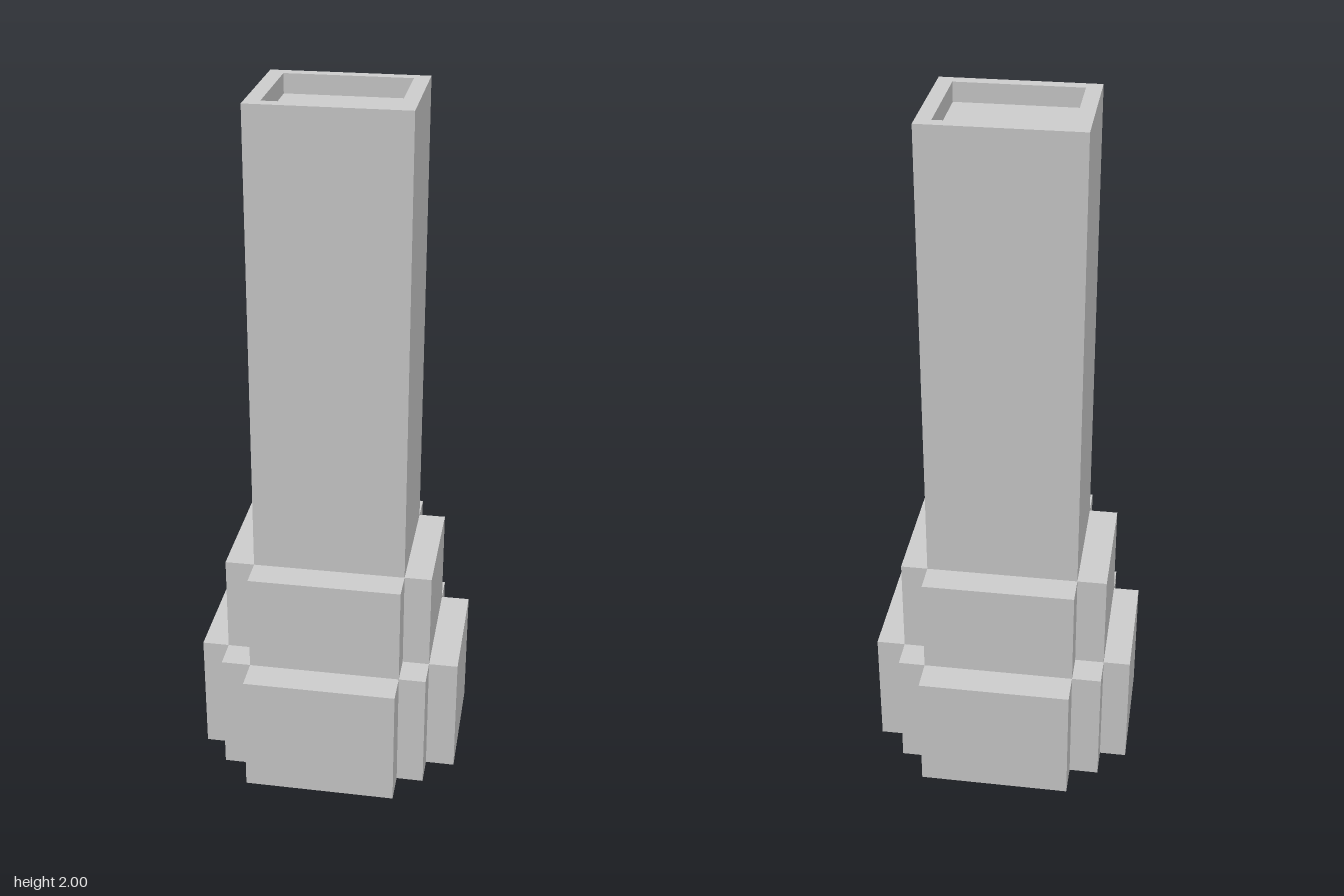
import * as THREE from 'three';

// Stepped plan: distances of the shaft, middle and base faces on each side
const RIGHT = [0.22, 0.298, 0.382], LEFT = [-0.22, -0.305, -0.383];
const FRONT = [0.182, 0.272, 0.366], BACK = [-0.187, -0.275, -0.368];
const MID_Y = 0.36, SHAFT_Y = 0.65, TOP_Y = 2, RECESS_Y = 1.945;

const material = new THREE.MeshStandardMaterial({ color: 0xcccccc, flatShading: true, side: THREE.DoubleSide });

// Builds one mesh from a list of four-cornered faces
function quadMesh(name, quads) {
  const positions = quads.flatMap(([a, b, c, d]) => [a, b, c, a, c, d].flat());
  const geometry = new THREE.BufferGeometry();
  geometry.setAttribute('position', new THREE.Float32BufferAttribute(positions, 3));
  geometry.computeVertexNormals();
  const mesh = new THREE.Mesh(geometry, material);
  mesh.name = name;
  return mesh;
}

// Closed outline of a cross plan with the given number of corner steps
function outline(steps) {
  const quadrants = [[RIGHT, FRONT], [LEFT, FRONT], [LEFT, BACK], [RIGHT, BACK]];
  return quadrants.flatMap(([xs, zs], q) => {
    const corner = [];
    for (let i = 0; i <= steps; i++) {
      corner.push([xs[steps - i], zs[i]]);
      if (i < steps) corner.push([xs[steps - i - 1], zs[i]]);
    }
    return q % 2 ? corner.reverse() : corner;
  });
}

// Upright walls along an outline, facing outward
function walls(points, y0, y1) {
  return points.map(([ax, az], i) => {
    const [bx, bz] = points[(i + 1) % points.length];
    return [[ax, y0, az], [ax, y1, az], [bx, y1, bz], [bx, y0, bz]];
  });
}

// Level rectangle facing up
function slab(xa, xb, za, zb, y) {
  const x0 = Math.min(xa, xb), x1 = Math.max(xa, xb);
  const z0 = Math.min(za, zb), z1 = Math.max(za, zb);
  return [[x0, y, z1], [x1, y, z1], [x1, y, z0], [x0, y, z0]];
}

// Ledges on the four arms between plan sizes i and i + 1
function armLedges(i, y) {
  return [
    ...[FRONT, BACK].map((z) => slab(LEFT[0], RIGHT[0], z[i], z[i + 1], y)),
    ...[LEFT, RIGHT].map((x) => slab(x[i], x[i + 1], BACK[0], FRONT[0], y)),
  ];
}

export function createModel() {
  const model = new THREE.Group();
  model.name = 'steppedTower';

  // Hollow base, open underneath, with small ledges in its corners
  const cornerLedges = [LEFT, RIGHT].flatMap((x) =>
    [FRONT, BACK].map((z) => slab(x[0], x[1], z[0], z[1], MID_Y)));
  model.add(quadMesh('baseWalls', walls(outline(2), 0, MID_Y)));
  model.add(quadMesh('baseLedges', [...armLedges(1, MID_Y), ...cornerLedges]));

  // Middle tier
  model.add(quadMesh('middleWalls', walls(outline(1), MID_Y, SHAFT_Y)));
  model.add(quadMesh('middleLedges', armLedges(0, SHAFT_Y)));

  // Shaft
  const shaft = outline(0);
  model.add(quadMesh('shaftWalls', walls(shaft, SHAFT_Y, TOP_Y)));

  // Parapet around the sunken roof
  const [rx, rf, rb] = [0.177, 0.146, -0.152];
  const inner = [[rx, rf], [-rx, rf], [-rx, rb], [rx, rb]];
  const rim = shaft.map(([ax, az], i) => {
    const j = (i + 1) % 4;
    const at = ([x, z]) => [x, TOP_Y, z];
    return [[ax, TOP_Y, az], at(inner[i]), at(inner[j]), at(shaft[j])];
  });
  model.add(quadMesh('parapetRim', rim));
  model.add(quadMesh('parapetInside', walls([...inner].reverse(), RECESS_Y, TOP_Y)));
  model.add(quadMesh('roof', [slab(-rx, rx, rb, rf, RECESS_Y)]));

  return model;
}
